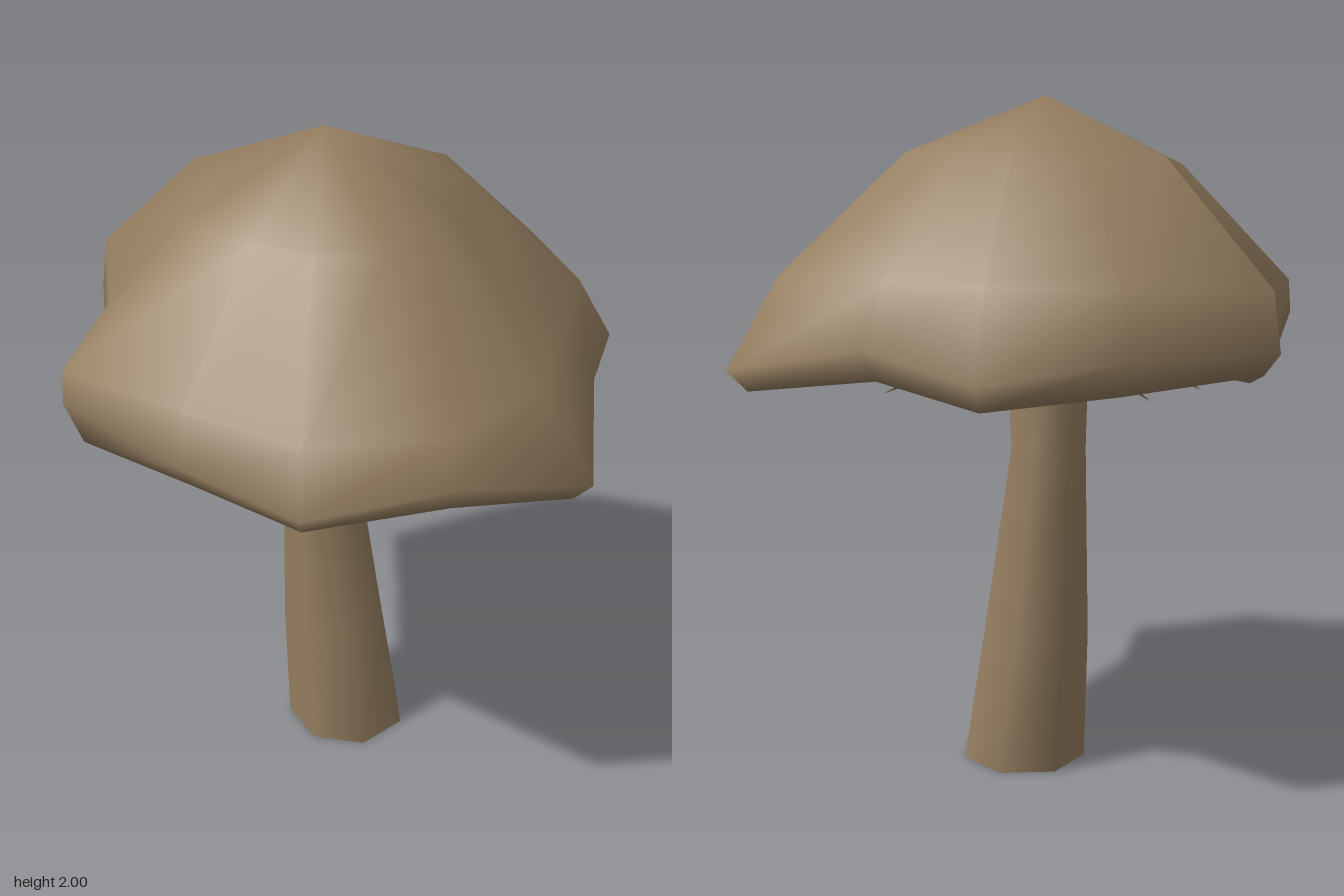
import * as THREE from 'three';
import { mergeVertices } from 'three/addons/utils/BufferGeometryUtils.js';

const brown = new THREE.MeshStandardMaterial({ color: 0x957e60, side: THREE.DoubleSide });
brown.name = 'mushroomBrown';

// Skin a stack of closed rings, listed from top to bottom, with smooth normals
function loft(rings) {
  const n = rings[0].length;
  const index = [];
  for (let r = 0; r < rings.length - 1; r++) {
    for (let i = 0; i < n; i++) {
      const j = (i + 1) % n, a = r * n, b = a + n;
      index.push(a + i, a + j, b + j, a + i, b + j, b + i);
    }
  }
  let geo = new THREE.BufferGeometry();
  geo.setAttribute('position', new THREE.Float32BufferAttribute(rings.flat(2), 3));
  geo.setIndex(index);
  geo = mergeVertices(geo, 1e-4);
  geo.computeVertexNormals();
  return geo;
}

function addMesh(group, name, geo) {
  const mesh = new THREE.Mesh(geo, brown);
  mesh.name = name;
  group.add(mesh);
}

// Wavy rim of the cap: x, z, rim height, lip height, shoulder scale, crown scale
const RIM = [
  [0.82, 0.36, 1.25, 1.19, 0.80, 0.40],
  [0.53, 0.65, 1.36, 1.28, 0.89, 0.46],
  [0.16, 0.78, 1.28, 1.22, 0.92, 0.47],
  [-0.20, 0.66, 1.30, 1.23, 0.97, 0.52],
  [-0.58, 0.53, 1.36, 1.23, 0.99, 0.54],
  [-0.64, 0.13, 1.27, 1.19, 0.96, 0.53],
  [-0.82, -0.26, 1.33, 1.27, 0.97, 0.54],
  [-0.52, -0.54, 1.32, 1.23, 0.93, 0.50],
  [-0.22, -0.78, 1.27, 1.20, 0.86, 0.48],
  [0.14, -0.73, 1.33, 1.25, 0.90, 0.48],
  [0.56, -0.77, 1.26, 1.20, 0.84, 0.45],
  [0.76, -0.41, 1.31, 1.24, 0.87, 0.44],
  [0.76, -0.03, 1.35, 1.27, 0.86, 0.43],
];

function capGeometry() {
  const ring = (fn) => RIM.map((p) => fn(...p));
  return loft([
    ring(() => [-0.02, 2.0, -0.03]),
    ring((x, z, y, lip, s, c) => [x * c, 1.82 - 0.024 * z, z * c]),
    ring((x, z, y, lip, s) => [x * s, 1.48 - 0.04 * z, z * s]),
    ring((x, z, y) => [x, y, z]),
    ring((x, z, y, lip) => [x * 0.94, lip, z * 0.94]),
    // hollow underside, rising towards the stem
    ring((x, z, y, lip) => [x * 0.55, lip * 0.6 + 1.29 * 0.4, z * 0.55]),
    ring(() => [-0.02, 1.35, -0.03]),
  ]);
}

// Seven-sided leaning stem, open at the foot
function stemGeometry() {
  const sections = [ // y, centre x, centre z, radius x, radius z
    [1.35, -0.023, -0.027, 0.127, 0.121],
    [0.98, -0.028, -0.03, 0.114, 0.111],
    [0.4, 0.019, -0.026, 0.165, 0.155],
    [0, 0.06, -0.025, 0.191, 0.186],
  ];
  return loft(sections.map(([y, cx, cz, rx, rz]) =>
    Array.from({ length: 7 }, (_, i) => {
      const a = -Math.PI / 4 + (i / 7) * Math.PI * 2;
      return [cx + Math.cos(a) * rx, y, cz + Math.sin(a) * rz];
    })));
}

// Thin blade hanging under the cap, pointing along +x, sloping down outwards
function gillGeometry(outer) {
  const inner = 0.14, mid = 0.38, w = 0.006;
  const geo = new THREE.BufferGeometry();
  geo.setAttribute('position', new THREE.Float32BufferAttribute([
    inner, 1.32, 0, mid, 1.28, w, mid, 1.24, 0, outer, 1.205, 0, mid, 1.28, -w,
  ], 3));
  geo.setIndex([0, 2, 1, 1, 2, 3, 0, 4, 2, 4, 3, 2]);
  geo.computeVertexNormals();
  return geo;
}

export function createModel() {
  const model = new THREE.Group();
  model.name = 'mushroom';
  addMesh(model, 'cap', capGeometry());
  addMesh(model, 'stem', stemGeometry());

  // Gills fan out around the stem
  const gills = new THREE.Group();
  gills.name = 'gills';
  gills.position.set(-0.02, 0, -0.03);
  for (let i = 0; i < 15; i++) {
    addMesh(gills, 'gill', gillGeometry(0.57 + 0.05 * Math.sin(i * 2.3)));
    gills.children[i].rotation.y = (i / 15) * Math.PI * 2;
  }
  model.add(gills);
  return model;
}
